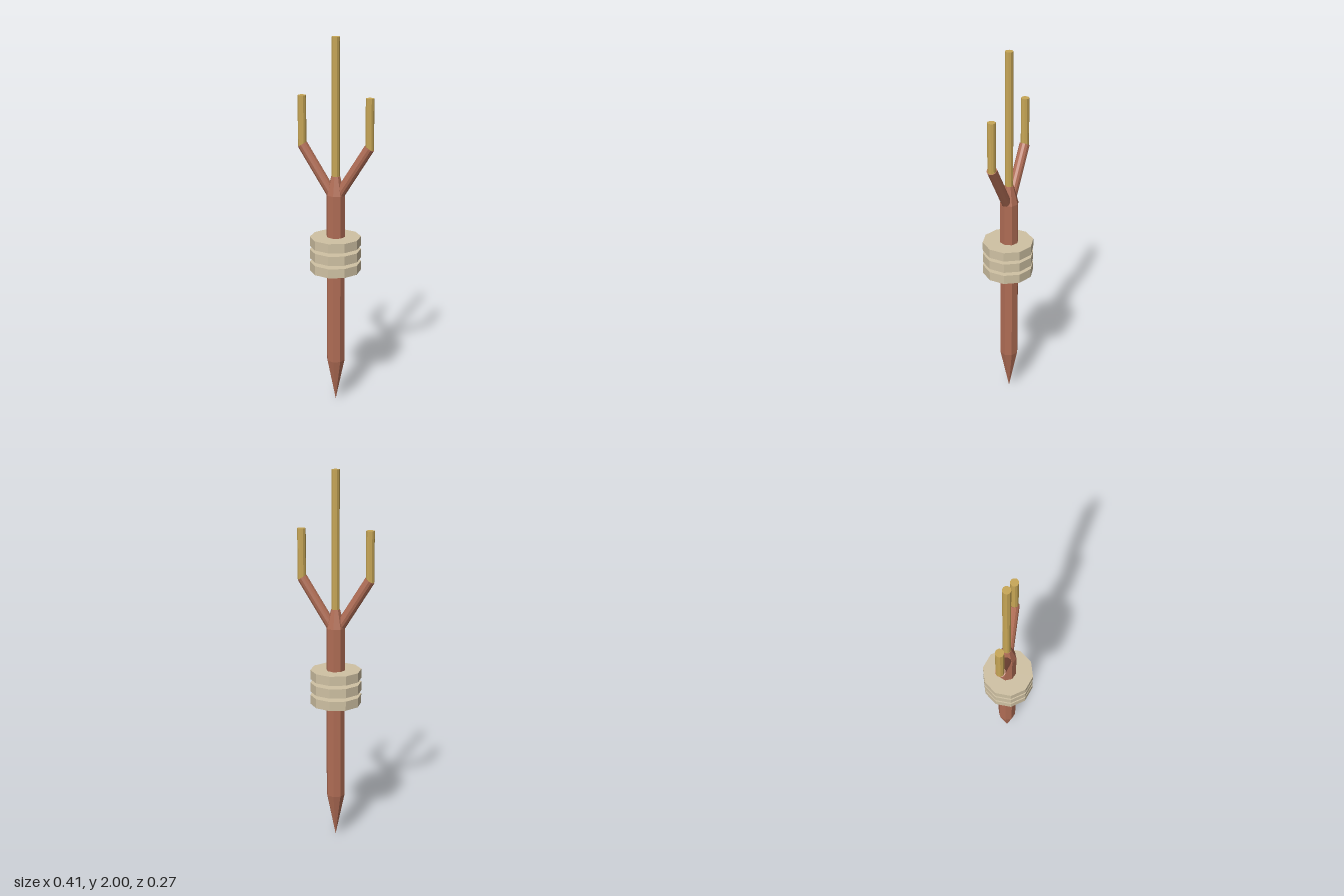
import * as THREE from 'three';

export function createModel() {
  const group = new THREE.Group();
  const material = (name, color, flatShading) => {
    const m = new THREE.MeshStandardMaterial({ color });
    m.name = name;
    m.flatShading = flatShading;
    return m;
  };
  const wood = material('redBrownWood', 0xb06d55, true);
  const brass = material('brass', 0xc7a656, true);
  const bone = material('paleBone', 0xcfc1a3, true);

  // Upright cylinder between two heights
  const post = (name, mat, rTop, rBottom, y0, y1, x, z, sides) => {
    const geometry = new THREE.CylinderGeometry(rTop, rBottom, y1 - y0, sides);
    const mesh = new THREE.Mesh(geometry, mat);
    mesh.name = name;
    mesh.position.set(x, (y0 + y1) / 2, z);
    group.add(mesh);
    return mesh;
  };

  // Octagonal shaft with a pointed foot and a tapered neck
  const shaftZ = -0.007;
  const profile = [[0, 0], [0.05, 0.24], [0.05, 1.18], [0.024, 1.28], [0, 1.28]];
  const shaft = new THREE.Mesh(
    new THREE.LatheGeometry(profile.map(([r, y]) => new THREE.Vector2(r, y)), 8), wood);
  shaft.name = 'shaft';
  shaft.position.z = shaftZ;
  group.add(shaft);

  // Three stacked collar discs
  for (let i = 0; i < 3; i++) {
    const y = 0.763 + i * 0.069;
    post('collarDisc', bone, 0.136, 0.136, y, y + 0.05, 0, -0.001, 10);
  }

  // Long centre prong
  post('centreProng', brass, 0.021, 0.021, 1.27, 2, 0, shaftZ, 10);

  // Slanted branches, each carrying a short prong
  const up = new THREE.Vector3(0, 1, 0);
  for (const side of [1, -1]) {
    const from = new THREE.Vector3(side * 0.02, 1.182, -0.004);
    const to = new THREE.Vector3(side * 0.18, 1.44, -0.004);
    const axis = to.clone().sub(from);
    const branch = new THREE.Mesh(
      new THREE.CylinderGeometry(0.027, 0.027, axis.length(), 12), wood);
    branch.name = side > 0 ? 'leftBranch' : 'rightBranch';
    branch.position.copy(from).add(to).multiplyScalar(0.5);
    branch.quaternion.setFromUnitVectors(up, axis.normalize());
    group.add(branch);
    post(side > 0 ? 'leftProng' : 'rightProng', brass,
      0.022, 0.022, 1.43, 1.697, side * 0.181, -0.005, 10);
  }
  return group;
}
